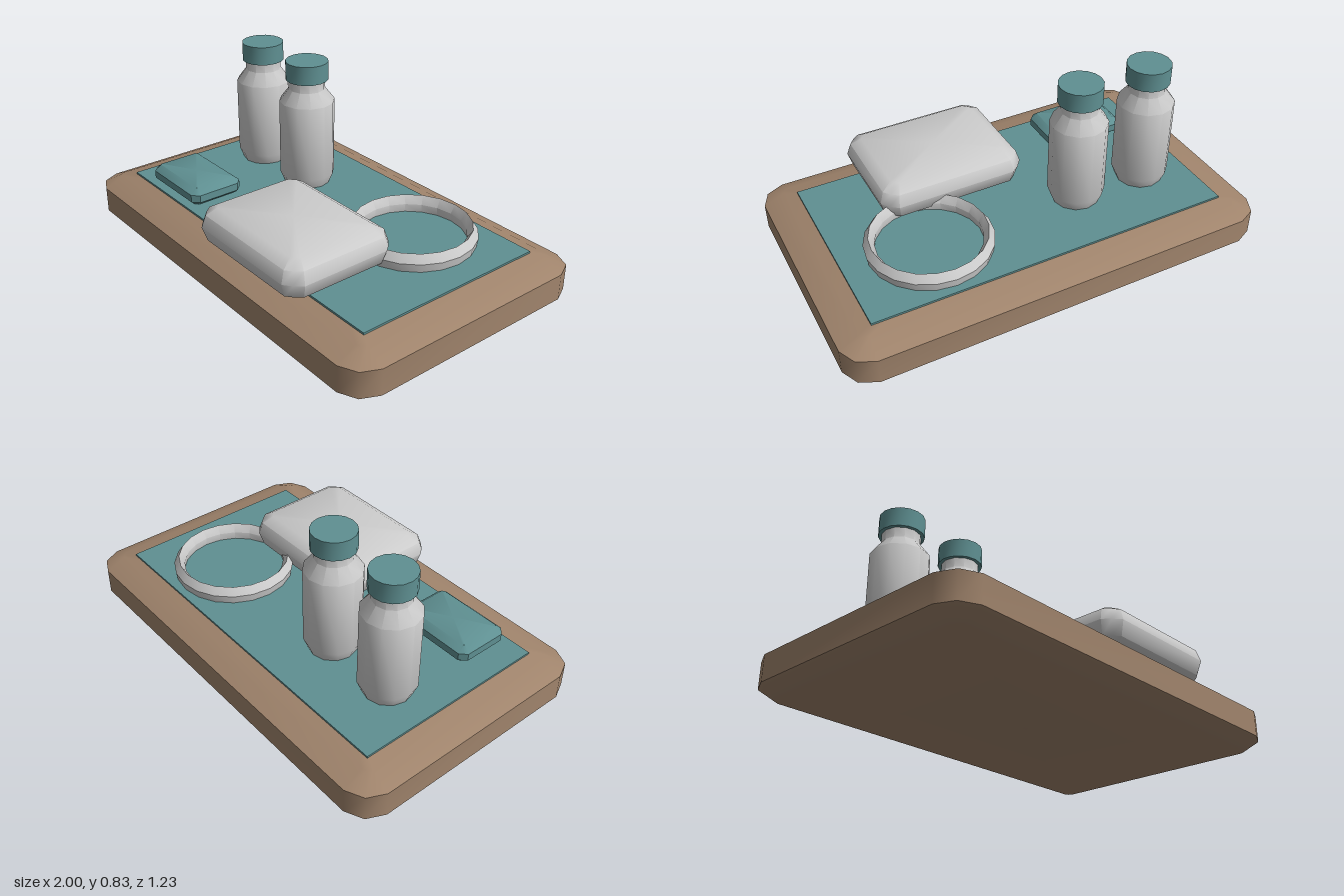
import * as THREE from 'three';
import { toCreasedNormals } from 'three/addons/utils/BufferGeometryUtils.js';

const CREASE = 0.75;
const wood = new THREE.MeshStandardMaterial({ color: 0xa0846c });
const teal = new THREE.MeshStandardMaterial({ color: 0x5f9092 });
const grey = new THREE.MeshStandardMaterial({ color: 0xcccccc });

// Rectangle outline with cut corners; mid places the middle point of each cut
function outline(hw, hd, c, mid) {
  const corner = [[hw, hd - c], [hw - mid * c, hd - mid * c], [hw - c, hd]];
  const mirrored = [...corner].reverse();
  return [
    ...corner,
    ...mirrored.map(([x, z]) => [-x, z]),
    ...corner.map(([x, z]) => [-x, -z]),
    ...mirrored.map(([x, z]) => [x, -z]),
  ];
}

// Closed block lofted through levels [y, inset, cornerCut], bottom to top
function bevelledBlock(width, depth, levels, mid) {
  const pos = [];
  const idx = [];
  const n = 12;
  for (const [y, inset, c] of levels) {
    for (const [x, z] of outline(width / 2 - inset, depth / 2 - inset, c, mid)) pos.push(x, y, z);
  }
  const last = levels.length - 1;
  const bottom = pos.length / 3;
  const top = bottom + 1;
  pos.push(0, levels[0][0], 0, 0, levels[last][0], 0);
  for (let i = 0; i < n; i++) {
    const k = (i + 1) % n;
    for (let j = 0; j < last; j++) {
      const a = j * n + i, b = j * n + k;
      idx.push(a, a + n, b, b, a + n, b + n);
    }
    idx.push(bottom, i, k, top, last * n + k, last * n + i);
  }
  const geo = new THREE.BufferGeometry();
  geo.setAttribute('position', new THREE.Float32BufferAttribute(pos, 3));
  geo.setIndex(idx);
  geo.computeVertexNormals();
  return toCreasedNormals(geo, CREASE);
}

function lathe(points, sides) {
  const profile = points.map(([r, y]) => new THREE.Vector2(r, y));
  return toCreasedNormals(new THREE.LatheGeometry(profile, sides), CREASE);
}

function createModel() {
  const model = new THREE.Group();
  model.name = 'trayWithSupplies';
  const add = (name, geo, mat, x = 0, y = 0, z = 0, parent = model) => {
    const mesh = new THREE.Mesh(geo, mat);
    mesh.name = name;
    mesh.position.set(x, y, z);
    parent.add(mesh);
  };

  // Wooden tray and the mat on it
  add('tray', bevelledBlock(2, 1.23, [
    [0, 0.08, 0.03], [0.05, 0, 0.118], [0.17, 0, 0.118], [0.215, 0.095, 0.03],
  ], 0.32), wood);
  add('mat', new THREE.BoxGeometry(1.7, 0.02, 0.93), teal, 0, 0.214, -0.005);

  // Soft pouch overhanging the front of the mat
  add('pouch', bevelledBlock(0.695, 0.55, [
    [0.217, 0.06, 0.03], [0.245, 0.02, 0.055], [0.31, 0, 0.065],
    [0.365, 0.018, 0.055], [0.395, 0.065, 0.03],
  ], 0.45), grey, 0.228, 0, 0.308);

  // Small flat packet
  add('packet', bevelledBlock(0.385, 0.265, [
    [0.222, 0.025, 0.015], [0.245, 0, 0.03], [0.28, 0, 0.03], [0.307, 0.03, 0.008],
  ], 0.5), teal, -0.542, 0, 0.303);

  // Ring with a peaked rim
  add('ring', lathe([
    [0.24, 0.222], [0.278, 0.222], [0.285, 0.263], [0.26, 0.3], [0.235, 0.263], [0.24, 0.222],
  ], 20), grey, 0.458, 0, -0.157);

  // Two capped bottles
  const bottleGeo = lathe([
    [0, 0.222], [0.108, 0.222], [0.13, 0.275], [0.13, 0.638], [0.085, 0.697], [0.085, 0.75], [0, 0.75],
  ], 12);
  const capGeo = toCreasedNormals(new THREE.CylinderGeometry(0.1, 0.1, 0.088, 16), CREASE);
  for (const x of [-0.62, -0.273]) {
    const bottle = new THREE.Group();
    bottle.name = 'bottle';
    bottle.position.set(x, 0, -0.155);
    add('bottleBody', bottleGeo, grey, 0, 0, 0, bottle);
    add('bottleCap', capGeo, teal, 0, 0.786, 0, bottle);
    model.add(bottle);
  }

  return model;
}

export { createModel };
